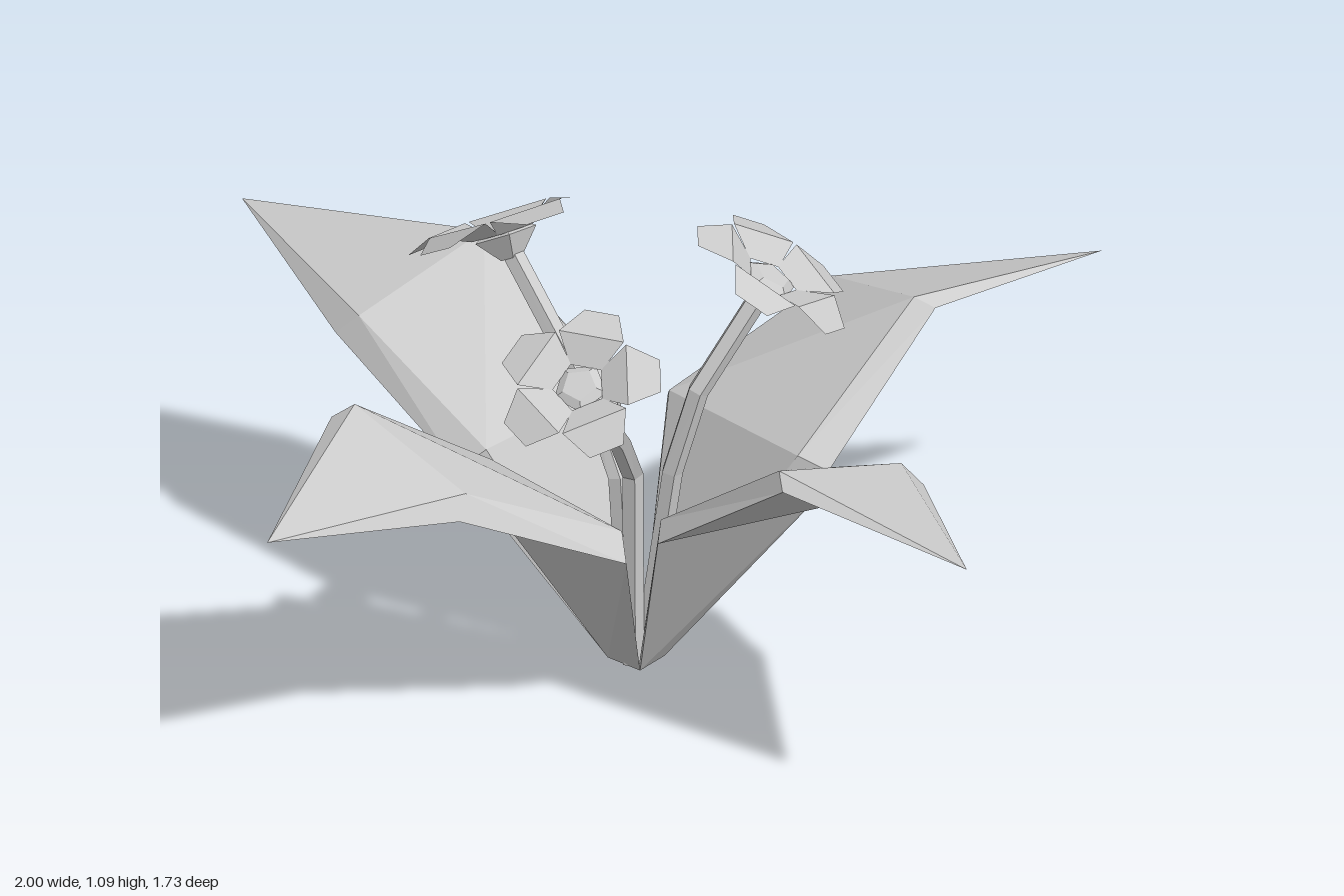
import * as THREE from 'three';

const material = new THREE.MeshStandardMaterial({
  color: 0xcccccc, flatShading: true, side: THREE.DoubleSide,
});
const V = (x, y, z) => new THREE.Vector3(x, y, z);

// Flat-shaded skin through rings of equal point count (counter-clockwise about the path)
function loft(rings, closed = true) {
  const pos = [];
  const tri = (a, b, c) => {
    const area = b.clone().sub(a).cross(c.clone().sub(a)).length();
    if (area > 1e-7) [a, b, c].forEach((p) => pos.push(p.x, p.y, p.z));
  };
  const n = rings[0].length;
  for (let r = 0; r < rings.length - 1; r++) {
    const a = rings[r], b = rings[r + 1];
    for (let i = 0; i < (closed ? n : n - 1); i++) {
      const j = (i + 1) % n;
      tri(a[i], a[j], b[j]);
      tri(a[i], b[j], b[i]);
    }
  }
  if (closed) {
    const first = rings[0], last = rings[rings.length - 1];
    for (let i = 1; i < n - 1; i++) {
      tri(first[0], first[i + 1], first[i]);
      tri(last[0], last[i], last[i + 1]);
    }
  }
  const g = new THREE.BufferGeometry();
  g.setAttribute('position', new THREE.Float32BufferAttribute(pos, 3));
  g.computeVertexNormals();
  return g;
}

function mesh(name, geometry) {
  const m = new THREE.Mesh(geometry, material);
  m.name = name;
  return m;
}

// Leaf: tilted slab with a bevelled rim, one edge higher than the other.
// Each station is [x, z] of the high edge and [x, z] of the low edge.
const HIGH = [0, 0.5, 0.77], LOW = [0, 0.46, 0.645];
const INSET = [0.4, 0.13, 0.06]; // how far the upper face draws in to the plant's axis
function leaf({ name, stations, tip }) {
  const rings = stations.map(([hx, hz, lx, lz], i) => {
    const hi = V(hx, HIGH[i], hz), lo = V(lx, LOW[i], lz);
    const inner = (from, to, rise) => {
      const p = from.clone().lerp(to, 0.04).lerp(V(-0.015, 0, -0.04), INSET[i]);
      p.y = i === 0 ? 0 : from.y + rise;
      return p;
    };
    return [lo, inner(lo, hi, 0.05), inner(hi, lo, 0.03), hi];
  });
  const end = V(tip[0], 0.725, tip[1]);
  rings.push([end, end, end, end]);
  return mesh(name, loft(rings));
}

const LEAVES = [
  { name: 'frontLeftLeaf', tip: [0.83, 0.855],
    stations: [[0, 0.02, 0.05, -0.06], [0.07, 0.35, 0.43, -0.05], [0.38, 0.59, 0.68, 0.28]] },
  { name: 'frontRightLeaf', tip: [-0.79, 0.86],
    stations: [[-0.08, -0.04, 0, 0.02], [-0.41, 0.01, 0, 0.38], [-0.69, 0.3, -0.37, 0.56]] },
  { name: 'backRightLeaf', tip: [-1, -0.87],
    stations: [[-0.02, -0.1, -0.08, -0.04], [-0.09, -0.46, -0.43, -0.06], [-0.43, -0.66, -0.74, -0.37]] },
  { name: 'backLeftLeaf', tip: [1, -0.78],
    stations: [[0.05, -0.06, -0.01, -0.1], [0.43, -0.05, 0.02, -0.48], [0.65, -0.37, 0.4, -0.71]] },
];

// Stem: five-sided tube with sharp bends
function stem(points, radius) {
  const up = V(0, 1, 0);
  const rings = points.map((p, i) => {
    const before = points[Math.max(i - 1, 0)], after = points[Math.min(i + 1, points.length - 1)];
    const dir = i === 0 ? up : after.clone().sub(before).normalize();
    const q = new THREE.Quaternion().setFromUnitVectors(up, dir);
    return Array.from({ length: 5 }, (_, k) => {
      const a = (k / 5) * Math.PI * 2;
      return V(Math.cos(a) * radius, 0, -Math.sin(a) * radius).applyQuaternion(q).add(p);
    });
  });
  return mesh('stem', loft(rings));
}

// Petal rows: distance from the centre, half width, height
const PETAL = [[0.055, 0.042, 0.005], [0.125, 0.085, 0.04], [0.205, 0.045, 0.015]];
function blossom(scale) {
  const g = new THREE.Group();
  g.name = 'blossom';
  const heart = mesh('heart', new THREE.CylinderGeometry(0.045, 0.07, 0.014, 5));
  heart.position.y = 0.007;
  const calyx = mesh('calyx', new THREE.CylinderGeometry(0.07, 0.025, 0.05, 5));
  calyx.position.y = -0.025;
  g.add(heart, calyx);
  // petal wide in the middle, bent down at its end
  const geometry = loft(PETAL.map(([r, w, h]) => [V(r, h, -w), V(r, h, w)]), false);
  for (let i = 0; i < 5; i++) {
    const petal = mesh('petal', geometry);
    petal.rotation.y = (i / 5) * Math.PI * 2;
    g.add(petal);
  }
  g.scale.setScalar(scale);
  return g;
}

function flower({ name, path, facing, scale, turn }) {
  const g = new THREE.Group();
  g.name = name;
  const points = path.map((p) => V(...p));
  const head = blossom(scale);
  const normal = V(...facing).normalize();
  head.quaternion.setFromUnitVectors(V(0, 1, 0), normal);
  head.rotateY(turn);
  head.position.copy(points[points.length - 1]).addScaledVector(normal, 0.02);
  g.add(stem(points, 0.026), head);
  return g;
}

const FLOWERS = [
  { name: 'backRightFlower', facing: [-0.38, 1, -0.42], scale: 1.12, turn: 0.31,
    path: [[-0.03, 0, -0.05], [-0.06, 0.45, -0.08], [-0.12, 0.58, -0.16], [-0.34, 0.91, -0.34]] },
  { name: 'leftFlower', facing: [0.6, 1, 0], scale: 0.99, turn: 0.75,
    path: [[0, 0, -0.04], [0.07, 0.5, -0.02], [0.13, 0.71, -0.02], [0.28, 0.95, -0.1]] },
  { name: 'frontFlower', facing: [-0.15, 1, 0.72], scale: 0.93, turn: 1.32,
    path: [[-0.02, 0, -0.02], [-0.02, 0.5, 0], [-0.04, 0.64, 0.11], [-0.105, 0.895, 0.365]] },
];

export function createModel() {
  const group = new THREE.Group();
  group.name = 'floweringPlant';
  LEAVES.forEach((l) => group.add(leaf(l)));
  FLOWERS.forEach((f) => group.add(flower(f)));
  return group;
}
